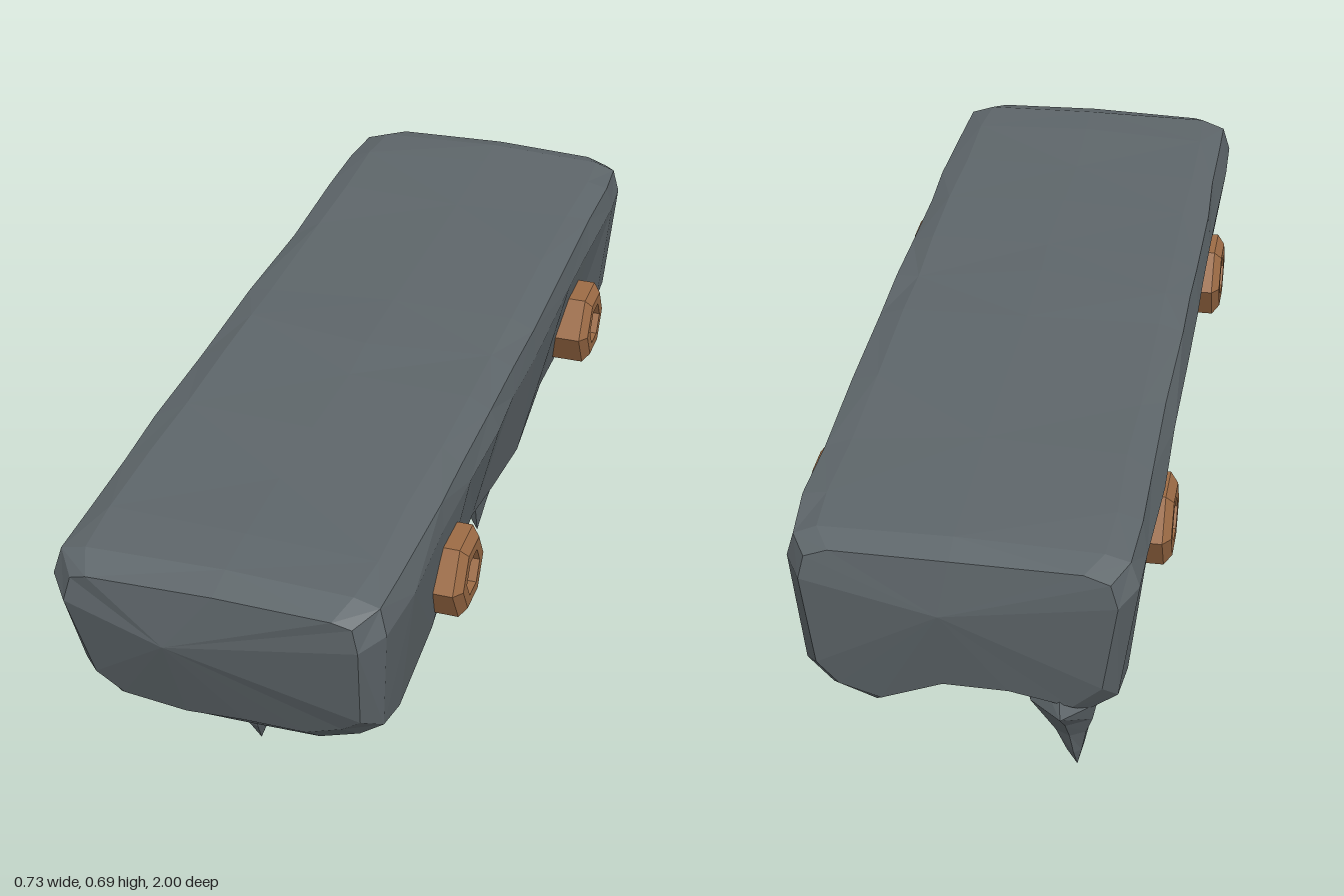
import * as THREE from 'three';

const stone = new THREE.MeshStandardMaterial({ color: 0x5e666a, flatShading: true });
const bronze = new THREE.MeshStandardMaterial({ color: 0x9c6b45, flatShading: true });

// Small seeded wobble for a hewn look
function makeRandom(seed) {
  return () => {
    seed = (seed * 16807) % 2147483647;
    return seed / 2147483647 - 0.5;
  };
}

// Cross-section, clockwise seen from the front; lift hollows the underside, waist draws in the sides
const section = (bottom, hipL, hipR, lift, waist) => [
  [-0.28, 0.682], [0, 0.687], [0.26, 0.682], [0.308, 0.667], [0.322, 0.61],
  [0.303 - waist, hipL], [0.255 - waist * 0.5, Math.max(bottom + 0.03, hipL - 0.07)],
  [0.17, bottom], [0.03, bottom + lift], [-0.11, bottom + lift],
  [-0.25, Math.max(bottom + 0.02, hipR - 0.08)],
  [-0.312 + waist * 0.5, hipR], [-0.347, 0.61], [-0.33, 0.667],
];

// Rows: z, size, bottom, crease on +x, crease on -x, hollow, waist, inward lean of the lower end
const rows = [
  [0.985, 0.87, 0.30, 0.38, 0.38, 0, 0, 0.36],
  [0.93, 0.975, 0.285, 0.37, 0.38, 0, 0, 0.22],
  [0.82, 1, 0.272, 0.35, 0.37, 0, 0, 0],
  [0.6, 1, 0.255, 0.36, 0.37, 0, 0.005, 0],
  [0.42, 1, 0.275, 0.40, 0.39, 0, 0.01, 0],
  [0.22, 1, 0.315, 0.42, 0.39, 0.015, 0.015, 0],
  [0.06, 1, 0.312, 0.39, 0.38, 0.02, 0.02, 0],
  [-0.12, 1, 0.265, 0.36, 0.39, 0.05, 0.02, 0],
  [-0.4, 1, 0.287, 0.37, 0.39, 0.03, 0.03, 0],
  [-0.62, 1, 0.278, 0.37, 0.37, 0.035, 0.025, 0],
  [-0.82, 1, 0.255, 0.36, 0.34, 0.055, 0.005, 0],
  [-0.93, 0.975, 0.262, 0.36, 0.34, 0.065, 0, -0.12],
  [-0.985, 0.88, 0.28, 0.38, 0.37, 0.06, 0, -0.2],
];

function slabGeometry() {
  const random = makeRandom(41);
  const pos = [], index = [];
  const n = 14;
  rows.forEach(([z, size, bottom, hipL, hipR, lift, waist, lean]) => {
    const inner = Math.abs(z) < 0.9;
    for (const [x, y] of section(bottom, hipL, hipR, lift, waist)) {
      const sy = 0.5 + (y - 0.5) * size;
      pos.push(
        -0.012 + (x + 0.012) * size + random() * 0.008,
        sy + random() * (y > 0.65 ? 0.008 : 0.014),
        z - lean * Math.max(0, 0.53 - sy) + random() * (inner ? 0.06 : 0.012),
      );
    }
  });
  for (let i = 0; i < rows.length - 1; i++) {
    for (let j = 0; j < n; j++) {
      const a = i * n + j, b = i * n + (j + 1) % n, c = a + n, d = b + n;
      if ((i + j) % 2) index.push(a, b, c, b, d, c);
      else index.push(a, b, d, a, d, c);
    }
  }
  // End faces, slightly bulged
  const front = rows.length * n, back = front + 1, last = (rows.length - 1) * n;
  pos.push(-0.1, 0.535, 1, 0.02, 0.55, -1);
  for (let j = 0; j < n; j++) {
    const k = (j + 1) % n;
    index.push(front, k, j, back, last + j, last + k);
  }
  const geo = new THREE.BufferGeometry();
  geo.setAttribute('position', new THREE.Float32BufferAttribute(pos, 3));
  geo.setIndex(index);
  geo.computeVertexNormals();
  return geo;
}

// Flared hanging spike, tip at the origin, its root shifted sideways by lean and sunk in the slab
function spikeGeometry(profile, lean, seed) {
  const random = makeRandom(seed);
  const sides = 7, n = profile.length;
  const geo = new THREE.LatheGeometry(profile.map(([r, y]) => new THREE.Vector2(r, y)), sides, seed);
  const p = geo.attributes.position;
  const bumps = Array.from({ length: sides * n }, () => 1 + random() * 0.2);
  for (let i = 0; i < p.count; i++) {
    const f = bumps[i % (sides * n)];
    p.setXYZ(i, p.getX(i) * f + p.getY(i) * lean, p.getY(i), p.getZ(i) * f);
  }
  geo.computeVertexNormals();
  return geo;
}

// Hexagonal nut with a chamfered face and an open hole
function nutGeometry() {
  const profile = [[0.046, -0.08], [0.093, -0.08], [0.093, 0.036], [0.072, 0.052], [0.046, 0.052], [0.046, -0.08]];
  return new THREE.LatheGeometry(profile.map(([r, y]) => new THREE.Vector2(r, y)), 6);
}

export function createModel() {
  const model = new THREE.Group();
  model.name = 'stonePlatform';
  const add = (name, geo, mat) => {
    const mesh = new THREE.Mesh(geo, mat);
    mesh.name = name;
    model.add(mesh);
    return mesh;
  };

  add('slab', slabGeometry(), stone);

  // Spikes: name, tip position, x and z widths, lean, profile of radius and height
  const spikes = [
    ['frontSpike', [-0.07, 0, 0.59], 0.9, 1.2, -0.05,
      [[0, 0], [0.028, 0.055], [0.055, 0.17], [0.1, 0.22], [0.2, 0.275], [0.19, 0.36]]],
    ['middleSpike', [0.198, 0.117, -0.12], 0.8, 1.05, -0.12,
      [[0, 0], [0.024, 0.05], [0.045, 0.1], [0.062, 0.14], [0.09, 0.18], [0.06, 0.25]]],
    ['backSpike', [-0.218, 0.095, -0.83], 0.75, 1.1, 0.14,
      [[0, 0], [0.024, 0.05], [0.048, 0.11], [0.08, 0.16], [0.115, 0.21], [0.08, 0.28]]],
  ];
  spikes.forEach(([name, tip, wx, wz, lean, profile], i) => {
    const spike = add(name, spikeGeometry(profile, lean, i + 3), stone);
    spike.position.set(...tip);
    spike.scale.set(wx, 1, wz);
  });

  // Two nuts on each long side
  for (const side of [1, -1]) {
    for (const z of [0.52, -0.51]) {
      const nut = add((side > 0 ? 'left' : 'right') + (z > 0 ? 'Front' : 'Back') + 'Nut', nutGeometry(), bronze);
      nut.position.set(side > 0 ? 0.311 : -0.313, 0.477, z);
      nut.rotation.z = -side * Math.PI / 2;
    }
  }
  return model;
}
